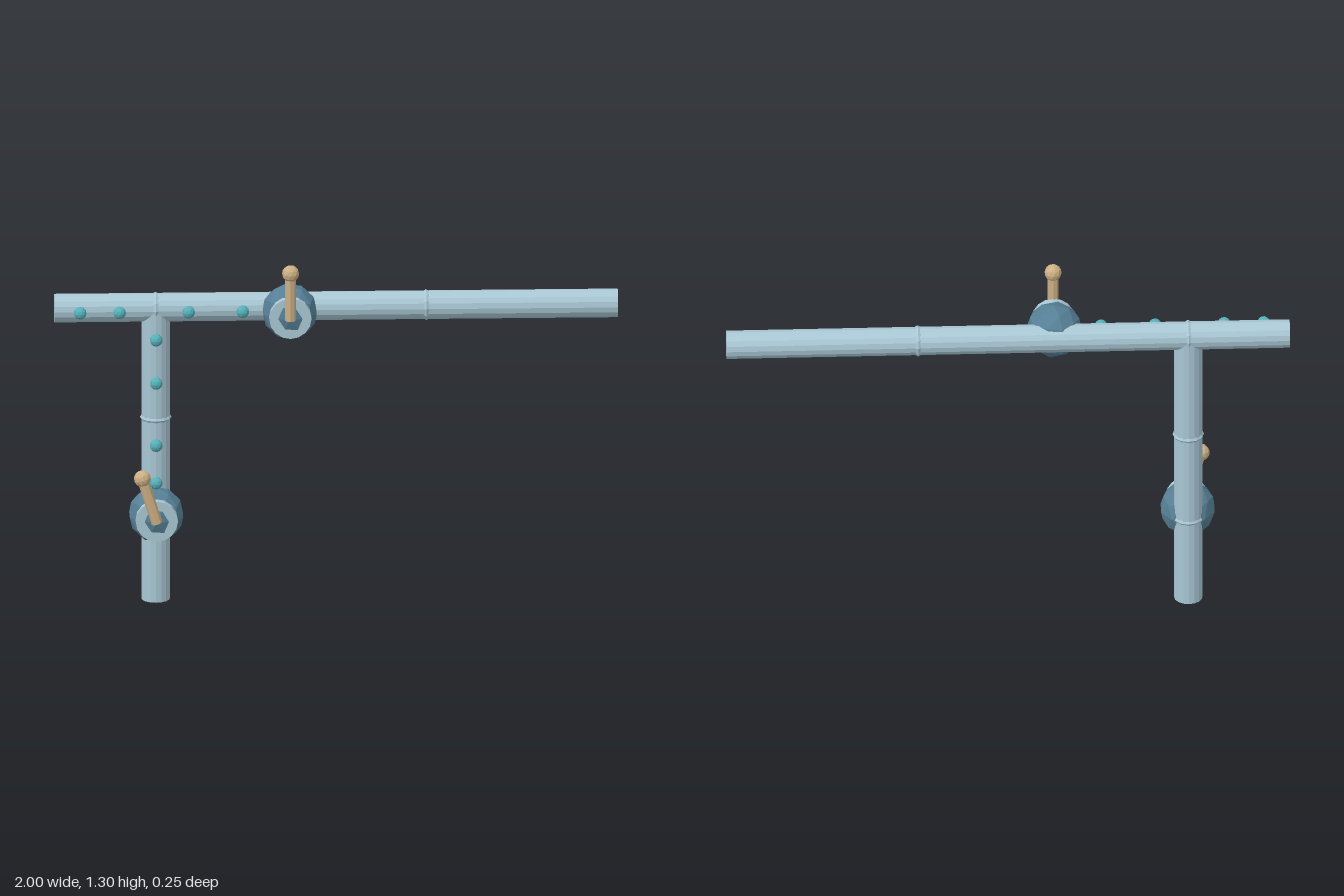
import * as THREE from 'three';

const flat = (name, color) => {
  const m = new THREE.MeshStandardMaterial({ color, flatShading: true });
  m.name = name;
  return m;
};

export function createModel() {
  const model = new THREE.Group();
  model.name = 'pipework';
  const steel = flat('pale steel', 0xa9c7d4);
  const iron = flat('blue iron', 0x567f95);
  const wood = flat('tan handle', 0xcdb085);
  const teal = flat('teal bead', 0x55b0b8);

  const PIPE_Z = -0.067, PIPE_R = 0.051, PIPE_Y = 1.09, POST_X = -0.64;

  const add = (parent, name, geometry, material, x, y, z) => {
    const mesh = new THREE.Mesh(geometry, material);
    mesh.name = name;
    mesh.position.set(x, y, z);
    parent.add(mesh);
    return mesh;
  };

  // Faceted ball standing on one of its five-sided corners
  const ball = (r) =>
    new THREE.IcosahedronGeometry(r, 1).rotateZ(Math.PI / 2 - Math.atan((1 + Math.sqrt(5)) / 2));

  // Pipes
  const crossPipe = new THREE.CylinderGeometry(PIPE_R, PIPE_R, 2, 16).rotateZ(Math.PI / 2);
  add(model, 'crossPipe', crossPipe, steel, 0, PIPE_Y, PIPE_Z);
  const post = new THREE.CylinderGeometry(PIPE_R, PIPE_R, PIPE_Y, 16);
  add(model, 'uprightPipe', post, steel, POST_X, PIPE_Y / 2, PIPE_Z);

  // Low weld rings barely rising from the pipes
  const ring = new THREE.TorusGeometry(0.044, 0.012, 6, 12);
  for (const x of [POST_X, 0.32]) {
    add(model, 'crossWeld', ring, steel, x, PIPE_Y, PIPE_Z).rotation.y = Math.PI / 2;
  }
  for (const y of [0.335, 0.68]) {
    add(model, 'uprightWeld', ring, steel, POST_X, y, PIPE_Z).rotation.x = Math.PI / 2;
  }

  // Valves: body, front collar, and a lever with a knob
  const body = ball(0.1);
  const collar = new THREE.CylinderGeometry(0.075, 0.075, 0.04, 16).rotateX(Math.PI / 2);
  const rod = new THREE.CylinderGeometry(0.02, 0.02, 0.17, 8);
  const knob = ball(0.031);
  const addValve = (x, y, tilt) => {
    const valve = new THREE.Group();
    valve.name = 'valve';
    valve.position.set(x, y, 0);
    add(valve, 'valveBody', body, iron, 0, 0, -0.008);
    add(valve, 'valveCollar', collar, steel, 0, 0, 0.058);
    const lever = new THREE.Group();
    lever.name = 'lever';
    lever.position.z = 0.093;
    lever.rotation.z = tilt;
    add(lever, 'leverRod', rod, wood, 0, 0.085, 0);
    add(lever, 'leverKnob', knob, wood, 0, 0.175, 0);
    valve.add(lever);
    model.add(valve);
  };
  addValve(-0.166, PIPE_Y, 0);
  addValve(POST_X, 0.335, 0.3);

  // Beads in front of the pipes
  const bead = ball(0.023);
  for (const x of [-0.91, -0.77, -0.525, -0.333]) add(model, 'crossBead', bead, teal, x, 1.094, 0.004);
  for (const y of [0.455, 0.595, 0.828, 0.99]) add(model, 'uprightBead', bead, teal, POST_X, y, 0.004);

  return model;
}
